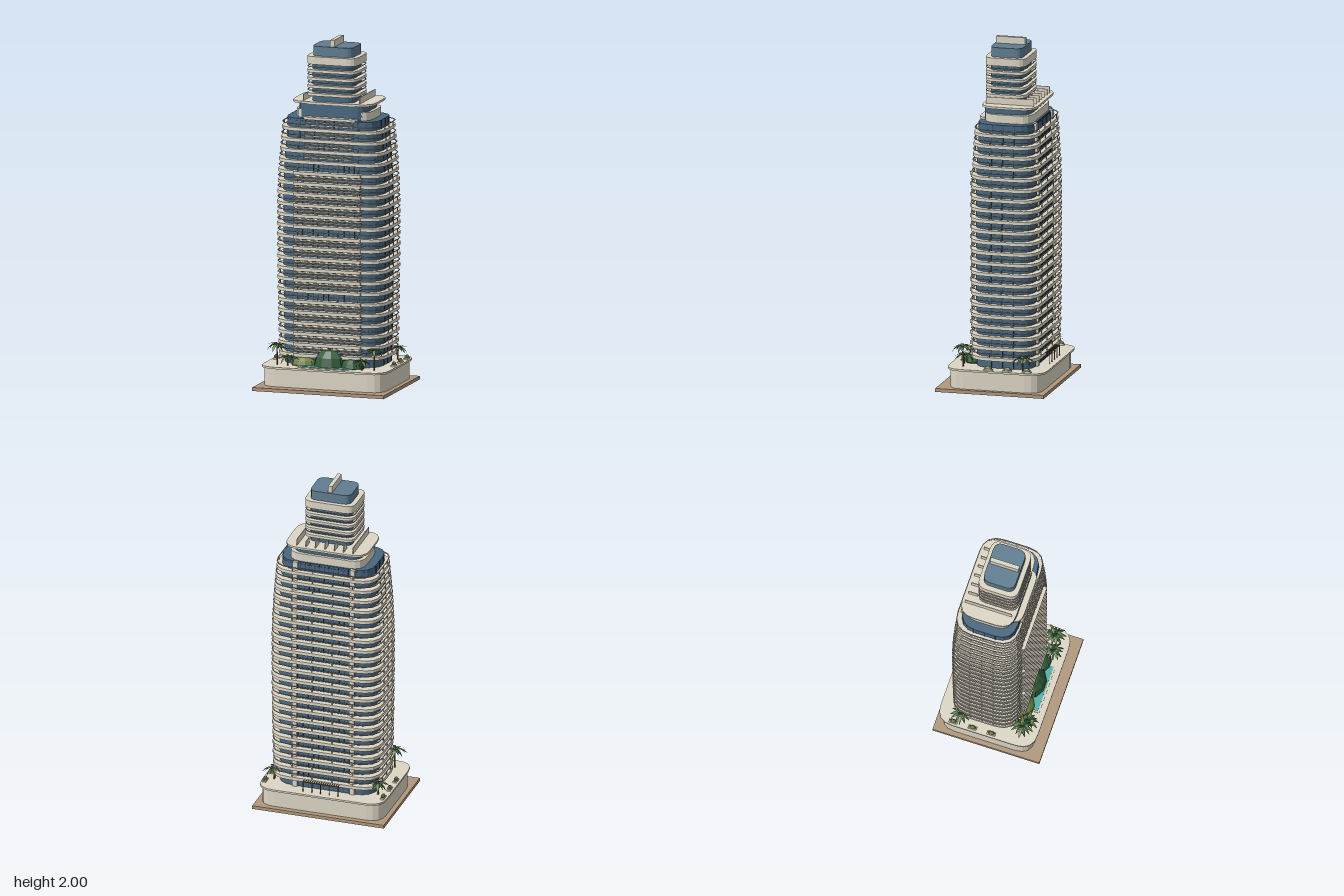
import * as THREE from 'three';
import { mergeGeometries } from 'three/addons/utils/BufferGeometryUtils.js';

const mat = (color, double = false) => new THREE.MeshStandardMaterial({
  color, flatShading: true, side: double ? THREE.DoubleSide : THREE.FrontSide });
const CREAM = mat(0xdcd6c5), GLASS = mat(0x48677f), DARK = mat(0x2c3e4c), TAN = mat(0xb0977c),
  CAPGLASS = mat(0x5f7d90), WATER = mat(0x52b0aa), RAIL = mat(0xb9b4a6), WOOD = mat(0x7a5a40),
  GREEN = mat(0x2f5a3c, true), OLIVE = mat(0x6f8040, true), DEEP = mat(0x2f5a38);

// plan outline: rectangle with softly curved corner cuts
function outline(hx, zBack, zFront, c, Type = THREE.Shape) {
  const s = new Type(), b = -zBack, f = -zFront;
  s.moveTo(-hx + c, f);
  s.lineTo(hx - c, f); s.quadraticCurveTo(hx, f, hx, f + c);
  s.lineTo(hx, b - c); s.quadraticCurveTo(hx, b, hx - c, b);
  s.lineTo(-hx + c, b); s.quadraticCurveTo(-hx, b, -hx, b - c);
  s.lineTo(-hx, f + c); s.quadraticCurveTo(-hx, f, -hx + c, f);
  return s;
}
// upright prism from the outline; wall > 0 hollows it into a ring
function prism(hx, zb, zf, cut, y0, y1, wall = 0) {
  const s = outline(hx, zb, zf, cut);
  if (wall) s.holes.push(outline(hx - wall, zb + wall, zf - wall, cut - wall * 0.6, THREE.Path));
  const g = new THREE.ExtrudeGeometry(s, { depth: y1 - y0, bevelEnabled: false, curveSegments: 4 });
  return g.rotateX(-Math.PI / 2).translate(0, y0, 0);
}
// box from its limits, non-indexed so that it merges with the prisms
const box = (x0, x1, y0, y1, z0, z1) => new THREE.BoxGeometry(x1 - x0, y1 - y0, z1 - z0)
  .translate((x0 + x1) / 2, (y0 + y1) / 2, (z0 + z1) / 2).toNonIndexed();

export function createModel() {
  const root = new THREE.Group();
  const add = (name, geos, material) => {
    const mesh = new THREE.Mesh(Array.isArray(geos) ? mergeGeometries(geos) : geos, material);
    mesh.name = name;
    root.add(mesh);
    return mesh;
  };

  // ground and podium
  add('groundSlab', box(-0.393, 0.393, 0, 0.02, -0.32, 0.318), TAN);
  add('podium', prism(0.365, -0.288, 0.254, 0.09, 0.02, 0.124), CREAM);
  add('podiumDeck', prism(0.375, -0.31, 0.27, 0.1, 0.124, 0.135), CREAM);

  // tower floors: gentle bulge, narrowing near the top
  const ZC = -0.047, PITCH = 0.0617, FLOORS = 22;
  const swell = (y) => y < 0.9 ? 0.96 + 0.04 * Math.sin(y / 0.9 * Math.PI / 2)
    : 1 - 0.085 * Math.pow(Math.max(0, (y - 1.05) / 0.45), 1.6);
  const slabs = [], rails = [], glass = [], mullions = [], posts = [], louvres = [], piers = [];
  for (let i = -1; i < FLOORS; i++) {
    const y = 0.19 + PITCH * i, top = y + PITCH, k = swell(y);
    const z = (v) => ZC + (v - ZC) * k;
    glass.push(prism(0.3 * k, z(-0.222), z(0.13), 0.115 * k, Math.max(y, 0.13), top));
    // mullions on all four faces
    for (let j = -6; j <= 6; j++) {
      const x = j * 0.031 * k;
      mullions.push(box(x - 0.0015, x + 0.0015, y + 0.01, top, z(0.13), z(0.13) + 0.003));
      mullions.push(box(x - 0.0015, x + 0.0015, y + 0.01, top, z(-0.222) - 0.003, z(-0.222)));
    }
    for (const s of [-1, 1]) {
      for (const zz of [-0.115, -0.05, 0.015]) {
        const x = s * 0.3 * k;
        mullions.push(box(x - 0.003, x + 0.003, y + 0.01, top, zz - 0.0015, zz + 0.0015));
      }
      piers.push(box(s * 0.171 - 0.014, s * 0.171 + 0.014, y, top, z(-0.222) - 0.012, z(-0.222) + 0.01));
    }
    if (i < 0) continue;
    // balcony slab, handrail and posts
    slabs.push(prism(0.331 * k, z(-0.255), z(0.153), 0.125 * k, y - 0.008, y + 0.011));
    rails.push(prism(0.33 * k, z(-0.254), z(0.152), 0.124 * k, y + 0.03, y + 0.034, 0.005));
    for (const s of [-1, 1]) {
      for (const zz of [-0.12, -0.05, 0.02]) {
        const x = s * 0.327 * k;
        posts.push(box(x - 0.002, x + 0.002, y + 0.01, y + 0.031, zz - 0.002, zz + 0.002));
      }
      for (const xx of [0.06, 0.18]) for (const zz of [z(-0.2515), z(0.1495)])
        posts.push(box(s * xx - 0.002, s * xx + 0.002, y + 0.01, y + 0.031, zz - 0.002, zz + 0.002));
    }
    // projecting front balconies and louvres
    const w = y < 1.28 ? 0.2 : 0.14;
    if (y < 1.28) slabs.push(box(-w, w, y - 0.008, y + 0.011, 0.12, 0.166));
    if (i % 6 !== 5) for (const d of [0.024, 0.04])
      louvres.push(box(-w, w, y + d, y + d + 0.005, 0.125 * k, y < 1.28 ? 0.162 : z(0.148)));
  }
  add('towerGlass', glass, GLASS);
  add('floorSlabs', slabs, CREAM);
  add('handrails', rails, RAIL);
  add('railPosts', posts, RAIL);
  add('mullions', mullions, DARK);
  add('backPiers', piers, CREAM);
  add('frontLouvres', louvres, CREAM);

  // tower roof and setback storey
  add('towerParapet', prism(0.275, -0.21, 0.118, 0.105, 1.49, 1.535, 0.012), GLASS);
  add('towerRoof', prism(0.27, -0.205, 0.113, 0.1, 1.49, 1.523), CREAM);
  add('setbackGlass', prism(0.205, -0.18, 0.095, 0.08, 1.52, 1.635), GLASS);
  add('setbackBand', [prism(0.225, -0.197, 0.085, 0.085, 1.545, 1.595),
    prism(0.165, -0.1, 0.13, 0.06, 1.545, 1.56)], CREAM);
  add('setbackRoof', prism(0.245, -0.22, 0.1, 0.09, 1.632, 1.644), CREAM);
  const fins = [-0.112, -0.057, 0, 0.057, 0.112].map((x) =>
    box(x - 0.002, x + 0.002, 1.64, 1.68, -0.2, -0.142));
  for (const s of [-1, 1]) fins.push(box(s * 0.168 - 0.002, s * 0.168 + 0.002, 1.64, 1.682, -0.2, 0.08));
  add('roofFins', fins, CREAM);

  // slender upper tower
  add('upperGlass', prism(0.125, -0.115, 0.075, 0.045, 1.64, 1.87), GLASS);
  const upper = [1.685, 1.73, 1.775, 1.82];
  add('upperSlabs', upper.map((y) => prism(0.15, -0.14, 0.1, 0.055, y - 0.007, y + 0.009)), CREAM);
  add('upperRails', upper.map((y) => prism(0.149, -0.139, 0.099, 0.054, y + 0.023, y + 0.027, 0.004)), RAIL);
  add('crownBand', prism(0.15, -0.14, 0.1, 0.055, 1.86, 1.905), CREAM);
  add('crownGlass', prism(0.122, -0.115, 0.073, 0.045, 1.9, 1.96), CAPGLASS);
  add('crownFin', box(-0.012, 0.012, 1.95, 2, -0.105, 0.065), CREAM);

  // pool and back pergola
  add('poolRim', box(-0.15, 0.15, 0.13, 0.139, 0.13, 0.235), CREAM);
  add('poolWater', box(-0.14, 0.14, 0.135, 0.141, 0.14, 0.225), WATER);
  const slats = [box(-0.107, 0.107, 0.193, 0.197, -0.277, -0.273)];
  for (let i = 0; i < 17; i++) {
    const x = -0.104 + i * 0.013;
    slats.push(box(x - 0.001, x + 0.001, 0.195, 0.199, -0.278, -0.235));
    if (i % 4 === 0) slats.push(box(x - 0.002, x + 0.002, 0.135, 0.195, -0.277, -0.273));
  }
  add('pergola', slats, WOOD);

  // rounded garden shrubs
  const bush = (name, x, y, z, rx, ry, rz, m) => {
    const b = add(name, new THREE.SphereGeometry(1, 10, 6), m);
    b.position.set(x, y, z);
    b.scale.set(rx, ry, rz);
  };
  bush('largeShrub', 0.015, 0.14, 0.14, 0.1, 0.1, 0.08, DEEP);
  bush('oliveShrub', -0.14, 0.14, 0.15, 0.075, 0.045, 0.05, OLIVE);
  bush('smallShrub', 0.15, 0.14, 0.15, 0.07, 0.05, 0.055, DEEP);
  for (const s of [-1, 1]) for (const z of [-0.21, -0.095, 0.017]) {
    add('planter', box(s * 0.352 - 0.011, s * 0.352 + 0.011, 0.13, 0.143, z - 0.025, z + 0.025), CREAM);
    bush('planterShrub', s * 0.352, 0.147, z, 0.011, 0.014, 0.022, OLIVE);
  }

  // palms: arched fronds, widest in the middle and folded along the rib
  const frond = new THREE.PlaneGeometry(1, 1, 4, 2).rotateX(-Math.PI / 2).translate(0.5, 0, 0);
  const p = frond.attributes.position;
  for (let i = 0; i < p.count; i++) {
    const t = p.getX(i), side = p.getZ(i) * 2;
    p.setZ(i, side * 0.15 * Math.sin(Math.PI * Math.min(1, 0.1 + t * 0.9)));
    p.setY(i, 0.6 * t - 1.1 * t * t - 0.06 * Math.abs(side) * (1 - t));
  }
  const palm = (x, z, h, r, turn) => {
    const g = new THREE.Group();
    g.name = 'palm';
    g.position.set(x, 0.133, z);
    const trunk = new THREE.Mesh(new THREE.CylinderGeometry(0.003, 0.005, h, 6).translate(0, h / 2, 0), WOOD);
    trunk.name = 'palmTrunk';
    g.add(trunk);
    for (let i = 0; i < 13; i++) {
      const f = new THREE.Mesh(frond, i % 3 === 1 ? OLIVE : GREEN);
      f.name = 'palmFrond';
      f.position.y = h;
      f.rotation.set(0, turn + i * Math.PI * 2 / 13, (i % 2) * 0.3);
      f.scale.setScalar(r * (0.85 + 0.15 * ((i * 5) % 3) / 2));
      g.add(f);
    }
    root.add(g);
  };
  for (const s of [-1, 1]) {
    palm(s * 0.29, 0.182, 0.115, 0.068, 0.2 * s);
    palm(s * 0.222, 0.195, 0.05, 0.062, 0.5 * s);
    palm(s * 0.31, -0.175, 0.07, 0.066, 0.1 * s);
  }
  return root;
}
